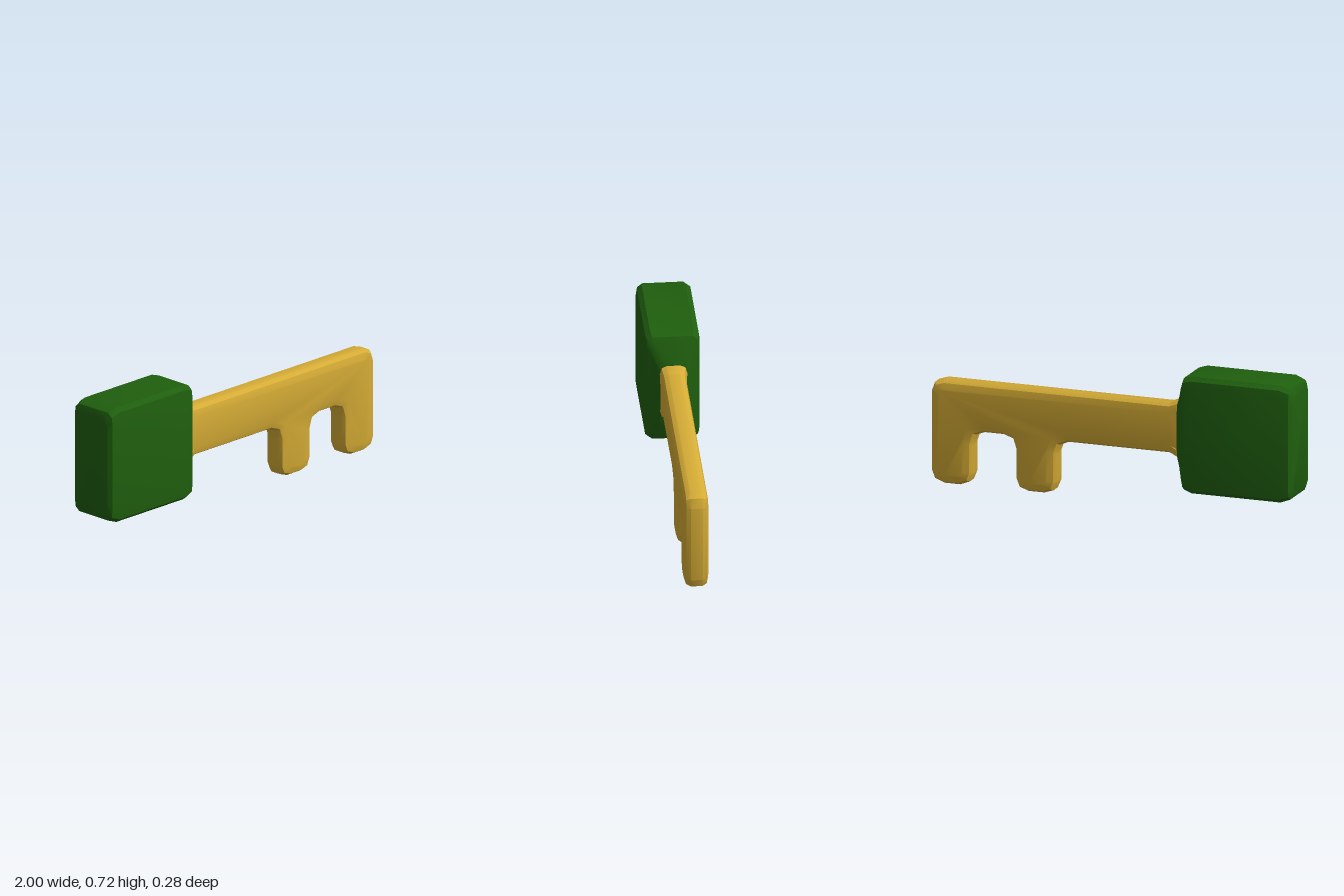
import * as THREE from 'three';
import { toCreasedNormals } from 'three/addons/utils/BufferGeometryUtils.js';

// Corner-softened rectangle in the yz plane, 12 points per ring
function ring(hy, hz) {
  const corner = [[0, 0.3], [0.18, 0.05], [0.5, 0]]; // [y inset, z inset] scaled below
  const q = corner.map(([a, b]) => [hy - a * 0.11, hz - b * 0.1]);
  const r = [...q].reverse();
  return [
    ...q,
    ...r.map(([y, z]) => [-y, z]),
    ...q.map(([y, z]) => [-y, -z]),
    ...r.map(([y, z]) => [y, -z]),
  ];
}

// Skin a row of rings [x, halfHeight, halfDepth] along x and cap both ends
function loft(sections, cy) {
  const pos = [], idx = [], n = 12;
  for (const [x, hy, hz] of sections) {
    for (const [y, z] of ring(hy, hz)) pos.push(x, cy + y, z);
  }
  const last = (sections.length - 1) * n;
  for (let s = 0; s < last; s += n) {
    for (let i = 0; i < n; i++) {
      const a = s + i, b = s + (i + 1) % n;
      idx.push(a, b, a + n, b, b + n, a + n);
    }
  }
  for (let i = 1; i < n - 1; i++) {
    idx.push(0, i + 1, i, last, last + i, last + i + 1);
  }
  const g = new THREE.BufferGeometry();
  g.setAttribute('position', new THREE.Float32BufferAttribute(pos, 3));
  g.setIndex(idx);
  // Make sure the skin faces outwards
  const p = new THREE.Vector3(...pos.slice(0, 3)), e1 = new THREE.Vector3(...pos.slice(3, 6)).sub(p);
  const e2 = new THREE.Vector3(...pos.slice(3 * n, 3 * n + 3)).sub(p);
  if (e1.cross(e2).dot(new THREE.Vector3(0, p.y - cy, p.z)) < 0) g.setIndex(idx.reverse());
  return g;
}

export function createModel() {
  const group = new THREE.Group();
  const add = (name, geometry, color) => {
    const mesh = new THREE.Mesh(
      toCreasedNormals(geometry, 0.55),
      new THREE.MeshStandardMaterial({ color })
    );
    mesh.name = name;
    group.add(mesh);
  };

  // Grip: soft block that tapers into the shaft
  add('grip', loft([
    [-1, 0.262, 0.112],
    [-0.985, 0.291, 0.134],
    [-0.935, 0.309, 0.142],
    [-0.45, 0.309, 0.142],
    [-0.405, 0.295, 0.134],
    [-0.388, 0.255, 0.112],
    [-0.372, 0.205, 0.09],
    [-0.35, 0.15, 0.068],
  ], 0.4135), 0x1f5f0e);

  // Shaft and two teeth, one bevelled outline
  const outline = [
    [-0.45, 0.25], [-0.35, 0.262], [-0.3, 0.285], [0.25, 0.285], [0.3, 0.265], [0.316, 0.22],
    [0.316, 0.065], [0.335, 0.02], [0.385, 0.003], [0.47, 0.003], [0.52, 0.02], [0.538, 0.065],
    [0.538, 0.22], [0.555, 0.272], [0.605, 0.29], [0.71, 0.29], [0.758, 0.272], [0.775, 0.22],
    [0.775, 0.065], [0.793, 0.02], [0.845, 0], [0.93, 0], [0.982, 0.02], [1, 0.065],
    [1, 0.48], [0.982, 0.53], [0.93, 0.547], [-0.3, 0.547], [-0.35, 0.568], [-0.45, 0.58],
  ].map(([x, y]) => new THREE.Vector2(x, y));
  const shaft = new THREE.ExtrudeGeometry(new THREE.Shape(outline), {
    depth: 0.06, bevelEnabled: true, bevelSegments: 2,
    bevelThickness: 0.032, bevelSize: 0.045, bevelOffset: -0.045,
  });
  shaft.translate(0, 0, -0.03);
  // Widen the root where it meets the grip
  const p = shaft.attributes.position;
  for (let i = 0; i < p.count; i++) {
    if (p.getX(i) < -0.325) p.setZ(i, p.getZ(i) * 1.17);
  }
  add('shaftAndTeeth', shaft, 0xd4ab35);

  return group;
}
